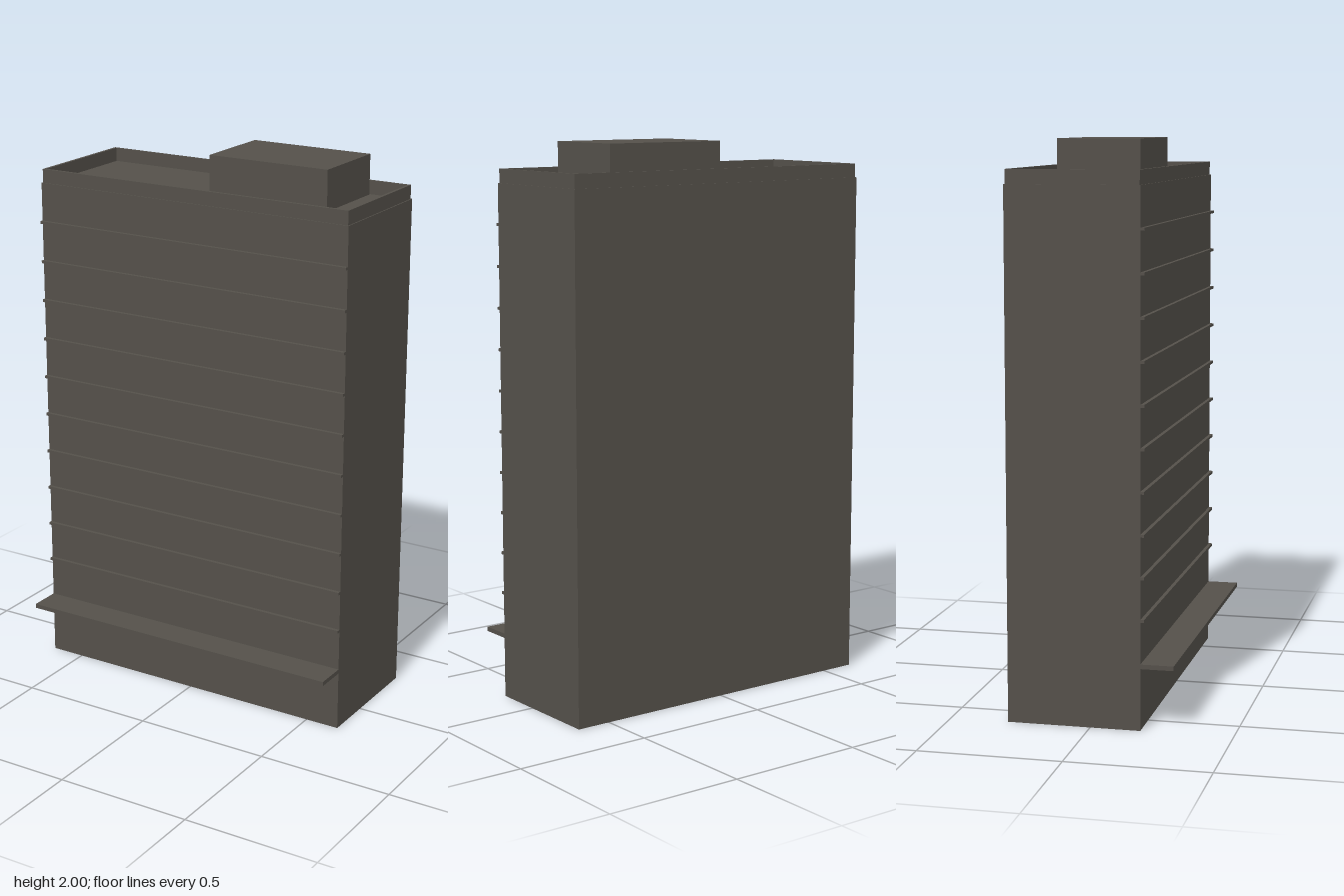
import * as THREE from 'three';

export function createModel() {
  const group = new THREE.Group();
  group.name = 'officeBlock';
  const concrete = new THREE.MeshStandardMaterial({ color: 0x54504a, side: THREE.DoubleSide });
  concrete.name = 'dark concrete';

  const add = (name, geometry) => {
    const mesh = new THREE.Mesh(geometry, concrete);
    mesh.name = name;
    group.add(mesh);
  };

  // Box given by its limits; openBottom drops the underside
  const box = (x0, x1, y0, y1, z0, z1, openBottom = false) => {
    const g = new THREE.BoxGeometry(x1 - x0, y1 - y0, z1 - z0);
    g.translate((x0 + x1) / 2, (y0 + y1) / 2, (z0 + z1) / 2);
    if (openBottom) {
      const index = Array.from(g.index.array);
      index.splice(18, 6);
      g.setIndex(index);
      g.clearGroups();
    }
    return g;
  };

  const W = 0.627, BACK = -0.293, FRONT = 0.177, ROOF = 1.855;

  // Hollow tower with its roof slab
  add('tower', box(-W, W, 0, ROOF, BACK, FRONT, true));

  // Parapet ring, set in slightly from the walls
  const rect = (target, x, z0, z1) => {
    target.moveTo(-x, -z1);
    target.lineTo(x, -z1);
    target.lineTo(x, -z0);
    target.lineTo(-x, -z0);
    target.closePath();
    return target;
  };
  const ring = rect(new THREE.Shape(), W - 0.004, BACK + 0.004, FRONT - 0.004);
  ring.holes.push(rect(new THREE.Path(), 0.612, -0.281, 0.162));
  const parapet = new THREE.ExtrudeGeometry(ring, { depth: 1.905 - ROOF, bevelEnabled: false });
  parapet.rotateX(-Math.PI / 2);
  parapet.translate(0, ROOF, 0);
  add('parapet', parapet);

  // Plant room on the roof
  add('plantRoom', box(0, 0.469, ROOF, 2, -0.274, 0.037));

  // Thin ledge at every floor of the front
  for (let i = 0; i < 10; i++) {
    const y = 0.385 + i * 0.1473;
    add('floorLedge', box(-W, W, y - 0.005, y + 0.005, FRONT, 0.19));
  }

  // Entrance canopy
  add('canopy', box(-W, W, 0.218, 0.234, FRONT, 0.293));

  return group;
}
